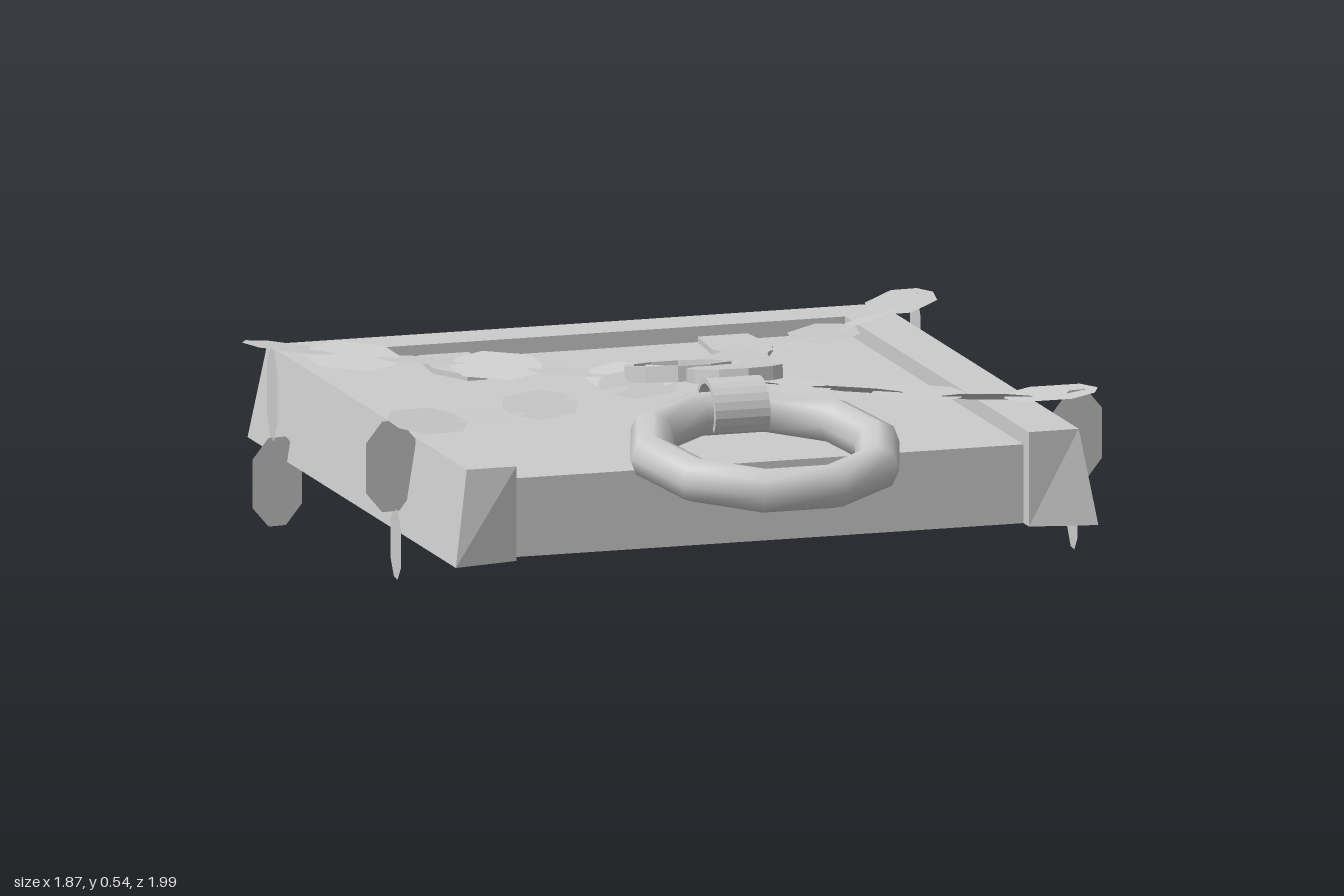
import * as THREE from 'three';

const flat = () => new THREE.MeshStandardMaterial({ color: 0xcccccc, flatShading: true, side: THREE.DoubleSide });
const smooth = () => new THREE.MeshStandardMaterial({ color: 0xcccccc, side: THREE.DoubleSide });

function add(parent, name, geometry, material = flat()) {
  const mesh = new THREE.Mesh(geometry, material);
  mesh.name = name;
  parent.add(mesh);
  return mesh;
}

// Thin surface made of four-cornered panels, corners counter-clockwise from outside
function panels(quads) {
  const pos = [];
  for (const [a, b, c, d] of quads) pos.push(...a, ...b, ...c, ...a, ...c, ...d);
  const g = new THREE.BufferGeometry();
  g.setAttribute('position', new THREE.Float32BufferAttribute(pos, 3));
  g.computeVertexNormals();
  return g;
}

const mirrorX = (quads) => quads.map((q) => q.map(([x, y, z]) => [-x, y, z]).reverse());

const polygon = (pts) => new THREE.Shape(pts.map(([x, y]) => new THREE.Vector2(x, y)));

const circle = (r, n, turn = 0) => Array.from({ length: n }, (_, i) => {
  const a = turn + (i / n) * Math.PI * 2;
  return [r * Math.cos(a), r * Math.sin(a)];
});

// Extrudes a shape upward from the ground plane; shape y points to the back
function plate(shape, depth) {
  return new THREE.ExtrudeGeometry(shape, { depth, bevelEnabled: false, curveSegments: 8 }).rotateX(-Math.PI / 2);
}

// Flat chain link: long octagon along local x, facing local z
function linkGeometry(length, width) {
  const l = length / 2, w = width / 2;
  return new THREE.ShapeGeometry(polygon([
    [-l, -w * 0.35], [-l * 0.55, -w], [l * 0.55, -w], [l, -w * 0.35],
    [l, w * 0.35], [l * 0.55, w], [-l * 0.55, w], [-l, w * 0.35],
  ]));
}

function addLink(parent, centre, along, facing, size = [0.23, 0.135]) {
  const x = along.clone().normalize();
  const y = facing.clone().cross(x).normalize();
  const z = x.clone().cross(y);
  const link = add(parent, 'chainLink', linkGeometry(...size));
  link.quaternion.setFromRotationMatrix(new THREE.Matrix4().makeBasis(x, y, z));
  link.position.copy(centre);
}

// Each chain: points (x, z) across the top, then the hanging end
const CHAINS = [
  { name: 'backLeftChain', top: [[0.1, -0.2], [0.21, -0.31], [0.37, -0.43], [0.52, -0.55], [0.65, -0.66], [0.8, -0.79]], hang: [0.86, -0.86], low: 0.05, lastAxis: 'z' },
  { name: 'backRightChain', top: [[-0.1, -0.2], [-0.22, -0.3], [-0.375, -0.43], [-0.53, -0.55], [-0.68, -0.65], [-0.82, -0.73]], hang: [-0.88, -0.68], low: 0, lastAxis: 'z' },
  { name: 'frontRightChain', top: [[-0.11, -0.11], [-0.26, -0.04], [-0.42, 0.055], [-0.59, 0.145], [-0.77, 0.225]], hang: [-0.87, 0.24], low: 0.05, lastAxis: 'x' },
  { name: 'frontLeftChain', top: [[0.13, -0.06], [0.24, 0.02], [0.39, 0.13], [0.52, 0.21], [0.67, 0.31], [0.81, 0.38]], hang: [0.87, 0.41], low: 0.05, lastAxis: 'x' },
];

function makeChain({ name, top, hang, low, lastAxis }) {
  const chain = new THREE.Group();
  chain.name = name;
  const pts = top.map(([x, z], i) => new THREE.Vector3(x, i === top.length - 1 ? 0.44 : 0.425, z));
  pts.forEach((p, i) => {
    const along = pts[Math.min(i + 1, pts.length - 1)].clone().sub(pts[Math.max(i - 1, 0)]);
    // links roll a little to either side in turn
    const roll = i % 2 ? 0.08 : -0.3;
    const facing = new THREE.Vector3(0, 1, 0).applyAxisAngle(along.clone().normalize(), roll);
    addLink(chain, p, along, facing);
  });
  // two links hang over the side, a quarter turn apart
  const down = new THREE.Vector3(0, -1, 0);
  const xAxis = new THREE.Vector3(1, 0, 0.12), zAxis = new THREE.Vector3(0.12, 0, 1);
  const [upper, lower] = lastAxis === 'x' ? [zAxis, xAxis] : [xAxis, zAxis];
  addLink(chain, new THREE.Vector3(hang[0], 0.335, hang[1]), down, upper);
  const length = 0.225 - low;
  addLink(chain, new THREE.Vector3(hang[0] * 0.985, low + length / 2, hang[1]), down, lower, [length, 0.135]);
  return chain;
}

export function createModel() {
  const model = new THREE.Group();
  model.name = 'chainedTrapdoor';

  // Sloping frame, open at the front and underneath
  const side = [
    [[0.84, 0.16, 0.67], [0.84, 0.16, -1], [0.8, 0.4, -0.965], [0.8, 0.4, 0.635]],
    [[0.67, 0.4, 0.635], [0.8, 0.4, 0.635], [0.8, 0.4, -0.965], [0.67, 0.4, -0.84]],
    [[0.67, 0.36, -0.84], [0.67, 0.36, 0.635], [0.67, 0.4, 0.635], [0.67, 0.4, -0.84]],
    [[0.67, 0.16, 0.59], [0.67, 0.16, 0.635], [0.67, 0.36, 0.635], [0.67, 0.36, 0.59]],
    [[0.67, 0.16, 0.635], [0.84, 0.16, 0.67], [0.8, 0.4, 0.635], [0.67, 0.4, 0.635]],
  ];
  const back = [
    [[0.84, 0.16, -1], [-0.84, 0.16, -1], [-0.8, 0.4, -0.965], [0.8, 0.4, -0.965]],
    [[-0.67, 0.4, -0.84], [0.67, 0.4, -0.84], [0.8, 0.4, -0.965], [-0.8, 0.4, -0.965]],
    [[-0.67, 0.36, -0.84], [0.67, 0.36, -0.84], [0.67, 0.4, -0.84], [-0.67, 0.4, -0.84]],
  ];
  add(model, 'frame', panels([...side, ...mirrorX(side), ...back]));

  // Door leaf
  add(model, 'door', panels([
    [[-0.67, 0.36, 0.59], [0.67, 0.36, 0.59], [0.67, 0.36, -0.84], [-0.67, 0.36, -0.84]],
    [[-0.67, 0.16, 0.59], [0.67, 0.16, 0.59], [0.67, 0.36, 0.59], [-0.67, 0.36, 0.59]],
  ]));

  // Strap hinges
  const strap = polygon([[-0.065, 0.84], [-0.08, 0.68], [-0.025, 0.57], [0.025, 0.57], [0.08, 0.68], [0.065, 0.84]]);
  for (const x of [-0.38, 0.35]) {
    add(model, 'hinge', plate(strap, 0.014)).position.set(x, 0.36, 0);
  }

  // Pull ring, leaning down to the front
  const ring = add(model, 'pullRing', new THREE.TorusGeometry(0.294, 0.058, 8, 10), smooth());
  ring.rotation.x = Math.PI / 2 + 0.15;
  ring.position.set(-0.03, 0.405, 0.663);

  // Curved clasp over the ring
  const clasp = new THREE.Shape();
  clasp.absarc(0, 0, 0.08, -0.6, 3.5, false);
  clasp.absarc(0, 0, 0.067, 3.5, -0.6, true);
  const claspGeo = new THREE.ExtrudeGeometry(clasp, { depth: 0.143, bevelEnabled: false, curveSegments: 8 });
  claspGeo.rotateY(-Math.PI / 2);
  add(model, 'ringClasp', claspGeo).position.set(0.048, 0.456, 0.39);

  // Padlock where the chains cross: hoop and round body, tilted up to the front
  const lock = new THREE.Group();
  lock.name = 'padlock';
  lock.position.set(0.005, 0.425, -0.135);
  lock.rotation.x = -0.16;
  const hoop = polygon(circle(0.14, 10));
  hoop.holes.push(new THREE.Path(circle(0.115, 10).map(([x, y]) => new THREE.Vector2(x, y))));
  add(lock, 'padlockHoop', plate(hoop, 0.04));
  add(lock, 'padlockBody', plate(polygon(circle(0.12, 10, 0.3)), 0.035)).position.set(0.075, 0, 0.225);
  model.add(lock);

  for (const chain of CHAINS) model.add(makeChain(chain));
  return model;
}
